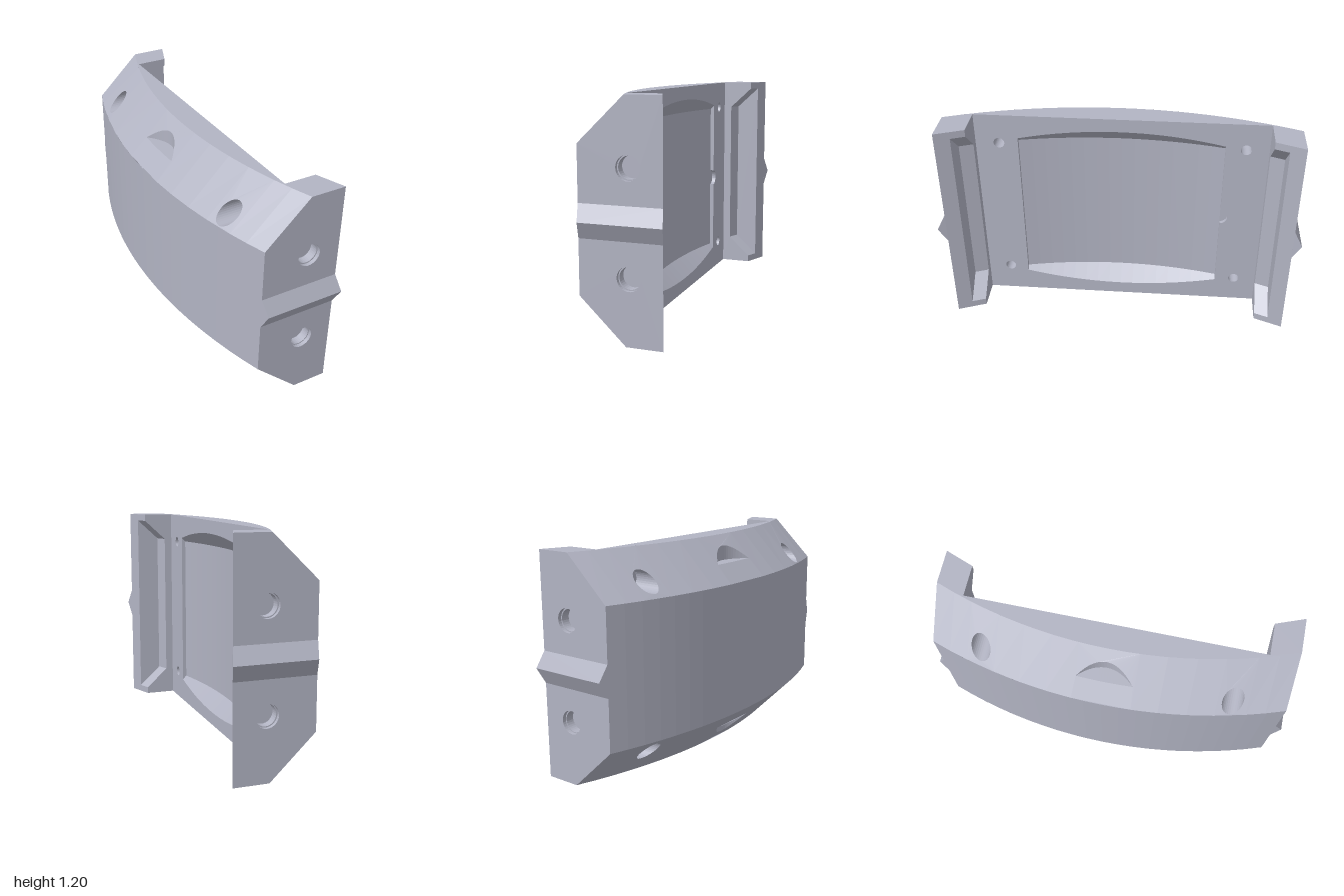
import * as THREE from 'three';
import { mergeGeometries } from 'three/addons/utils/BufferGeometryUtils.js';

const H = 1.195, END = 0.955, ARM = 0.8, FRONT = 0.055; // height, end face, arm inner face, front plane
const CX = 2.54, R_BACK = 2.846, R_TOP = 2.62, R_FLOOR = 2.57; // shared arc centre and radii
const SHOULDER = 0.965, TAPER = (R_BACK - R_TOP) / (H - SHOULDER);

const arcX = (r, z) => CX - Math.sqrt(r * r - z * z);
const coneX = (z, y) => arcX(R_BACK - (y - SHOULDER) * TAPER, z);
const coneY = (x, z) => SHOULDER + (R_BACK - Math.hypot(CX - x, z)) / TAPER;
const slantX = (z) => 0.23 + (z - ARM) * 0.387;
const steps = (a, b, n) => Array.from({ length: n + 1 }, (_, i) => a + ((b - a) * i) / n);
const circle = (a, b, r, n = 32) =>
  steps(0, Math.PI * 2, n).map((t) => [a + r * Math.cos(t), b + r * Math.sin(t)]);

// Flat outline with holes, placed in space by a mapping rule
function panel(outline, holes, map) {
  const v = (list) => list.map(([a, b]) => new THREE.Vector2(a, b));
  const shape = new THREE.Shape(v(outline));
  holes.forEach((h) => shape.holes.push(new THREE.Path(v(h))));
  const g = new THREE.ShapeGeometry(shape);
  const p = g.attributes.position;
  for (let i = 0; i < p.count; i++) p.setXYZ(i, ...map(p.getX(i), p.getY(i)));
  return finish(g);
}

// Ruled surface between two rows of points
function loft(a, b) {
  const pos = [];
  for (let i = 0; i < a.length - 1; i++) {
    pos.push(...a[i], ...b[i], ...b[i + 1], ...a[i], ...b[i + 1], ...a[i + 1]);
  }
  const g = new THREE.BufferGeometry();
  g.setAttribute('position', new THREE.Float32BufferAttribute(pos, 3));
  return finish(g);
}

function finish(g) {
  const out = g.index ? g.toNonIndexed() : g;
  out.deleteAttribute('uv');
  out.deleteAttribute('normal');
  return out;
}

// Mirror copies: both ends (z) and upper/lower halves (y)
function mirrored(list, inZ, inY) {
  const all = [];
  for (const sz of inZ ? [1, -1] : [1]) {
    for (const sy of inY ? [1, -1] : [1]) {
      list.forEach((g) => {
        const c = g.clone().scale(1, sy, sz);
        if (sy < 0) c.translate(0, H, 0);
        all.push(c);
      });
    }
  }
  return all;
}

export function createModel() {
  const group = new THREE.Group();
  const grey = new THREE.MeshStandardMaterial({ color: 0xb2b4c3, side: THREE.DoubleSide });
  const add = (name, list) => {
    const g = mergeGeometries(list);
    g.computeVertexNormals();
    const mesh = new THREE.Mesh(g, grey);
    mesh.name = name;
    group.add(mesh);
  };

  // Curved back wall
  const zs = steps(-END, END, 20);
  add('backWall', [loft(
    zs.map((z) => [arcX(R_BACK, z), H - SHOULDER, z]),
    zs.map((z) => [arcX(R_BACK, z), SHOULDER, z]),
  )]);

  // Conical shoulders, with screw openings and a half-round notch
  const onCone = (z, y) => [coneX(z, y), y, z];
  const block = (z0, z1) => [[z0, SHOULDER], [z1, SHOULDER], [z1, H], [z0, H]];
  const screws = [{ z: 0.67, y: 1.025 }, { z: -0.675, y: 1.04 }];
  const cuts = [0.16, 0.3, 0.45, 0.59, 0.75, 0.85, END];
  const shoulder = [];
  for (let i = 0; i < cuts.length - 1; i++) {
    screws.forEach(({ z, y }, k) => {
      const s = k ? -1 : 1;
      shoulder.push(panel(block(s * cuts[i], s * cuts[i + 1]), i === 3 ? [circle(z, y, 0.055)] : [], onCone));
    });
  }
  const floorY = 1.06, half = 0.15;
  const notchZ = steps(-half, half, 20);
  const notchX = (z) => coneX(z, floorY) + 0.08 * (1 - (z / half) ** 2);
  const notchTop = notchZ.map((z) => [z, coneY(notchX(z), z)]);
  shoulder.push(panel(block(-0.16, 0.16), [notchTop], onCone));
  add('shoulders', mirrored(shoulder, false, true));
  const wallFoot = notchZ.map((z) => [notchX(z), floorY, z]);
  add('shoulderNotches', mirrored([
    loft(wallFoot, notchTop.map(([z, y]) => [notchX(z), y, z])),
    loft(wallFoot, notchZ.map((z) => [coneX(z, floorY), floorY, z])),
  ], false, true));

  // Flat top and bottom
  const cap = zs.map((z) => [z, arcX(R_TOP, z)]);
  cap.push([END, 0.29], [ARM, 0.23], [ARM, FRONT], [-ARM, FRONT], [-ARM, 0.23], [-END, 0.29]);
  add('topAndBottom', mirrored([panel(cap, [], (z, x) => [x, H, z])], false, true));

  // Front plane around the recess, which has a thumb notch on one side
  const W = 0.565, LOW = 0.16, HIGH = H - LOW;
  const rise = (z) => HIGH + FRONT - arcX(R_FLOOR, z);
  const wz = steps(-W, W, 16);
  const thumb = steps(-Math.PI / 2, Math.PI / 2, 14)
    .map((t) => [-W - 0.042 * Math.cos(t), H / 2 + 0.045 * Math.sin(t)]);
  const recess = [
    ...wz.map((z) => [z, H - rise(z)]),
    ...wz.slice().reverse().map((z) => [z, rise(z)]),
    ...thumb.slice().reverse(),
  ];
  const small = screws.flatMap(({ z, y }) => [circle(z, y, 0.03), circle(z, H - y, 0.03)]);
  add('frontPlane', [panel([[-ARM, 0], [ARM, 0], [ARM, H], [-ARM, H]], [recess, ...small],
    (z, y) => [FRONT, y, z])]);

  // Recess floor, sloped ends, side walls and thumb notch
  const floorRow = (y) => wz.map((z) => [arcX(R_FLOOR, z), y, z]);
  const edge = arcX(R_FLOOR, W);
  add('recessFloor', [loft(floorRow(LOW), floorRow(HIGH))]);
  add('recessSlopes', mirrored([loft(floorRow(HIGH), wz.map((z) => [FRONT, rise(z), z]))], false, true));
  const side = (z, y0) => panel([[edge, y0], [FRONT, y0], [FRONT, rise(W)], [edge, HIGH]], [], (x, y) => [x, y, z]);
  add('recessSides', mirrored([side(W, H / 2), side(-W, H / 2 + 0.045)], false, true));
  add('thumbNotch', [
    loft(thumb.map(([z, y]) => [edge, y, z]), thumb.map(([z, y]) => [FRONT, y, z])),
    panel(thumb, [], (z, y) => [edge, y, z]),
  ]);

  // Stepped screw holes running through to the front plane
  const bores = screws.flatMap(({ z, y }) => {
    const wide = circle(z, y, 0.055), thin = circle(z, y, 0.03);
    const at = (ring, x) => ring.map(([a, b]) => [x, b, a]);
    return [
      loft(wide.map(([a, b]) => onCone(a, b)), at(wide, -0.04)),
      loft(at(wide, -0.04), at(thin, -0.04)),
      loft(at(thin, -0.04), at(thin, FRONT)),
    ];
  });
  add('screwHoles', mirrored(bores, false, true));

  // End faces with blind round pockets
  const pocketX = 0.117, pocketY = 0.86;
  const backX = arcX(R_BACK, END), topX = arcX(R_TOP, END);
  add('endFaces', mirrored([panel(
    [[backX, H - SHOULDER], [topX, 0], [0.29, 0], [0.29, H], [topX, H], [backX, SHOULDER]],
    [circle(pocketX, pocketY, 0.062), circle(pocketX, H - pocketY, 0.062)],
    (x, y) => [x, y, END],
  )], true, false));
  const ring = (r, z) => circle(pocketX, pocketY, r).map(([x, y]) => [x, y, z]);
  add('endPockets', mirrored([
    loft(ring(0.062, END), ring(0.062, END - 0.02)),
    loft(ring(0.062, END - 0.02), ring(0.056, END - 0.02)),
    loft(ring(0.056, END - 0.02), ring(0.056, END - 0.065)),
    panel(circle(pocketX, pocketY, 0.056), [], (x, y) => [x, y, END - 0.065]),
  ], true, true));

  // Pointed ridge across each end face
  const ridge = (x) => [[x, H / 2 - 0.085, END], [x + 0.015, H / 2, 1], [x, H / 2 + 0.085, END]];
  const base = (x) => [0, 1, 2].map((i) => [x, H / 2 + (i - 1) * 0.085, END]);
  add('endRidges', mirrored([
    loft(ridge(backX), ridge(0.29)),
    loft(ridge(backX), base(backX)),
    loft(ridge(0.29), base(0.29)),
  ], true, false));

  // Arms: inner face and slanted front, both opened by a slot with sloped ends
  const S = 0.875, lip = 0.04, deep = 0.1, shift = slantX(S) - slantX(ARM);
  add('armInnerFaces', mirrored([panel(
    [[FRONT, 0], [0.23, 0], [0.23, lip], [deep, LOW], [deep, HIGH], [0.23, H - lip], [0.23, H], [FRONT, H]],
    [], (x, y) => [x, y, ARM],
  )], true, false));
  add('armFronts', mirrored([panel(
    [[ARM, 0], [END, 0], [END, H], [ARM, H], [ARM, H - lip], [S, H - lip], [S, lip], [ARM, lip]],
    [], (z, y) => [slantX(z), y, z],
  )], true, false));
  const slot = [[0.23, lip], [deep, LOW], [deep, HIGH], [0.23, H - lip]];
  add('armSlots', mirrored([
    loft(slot.map(([x, y]) => [x, y, ARM]), slot.map(([x, y]) => [x + shift, y, S])),
    panel(slot, [], (x, y) => [x + shift, y, S]),
  ], true, false));

  return group;
}
